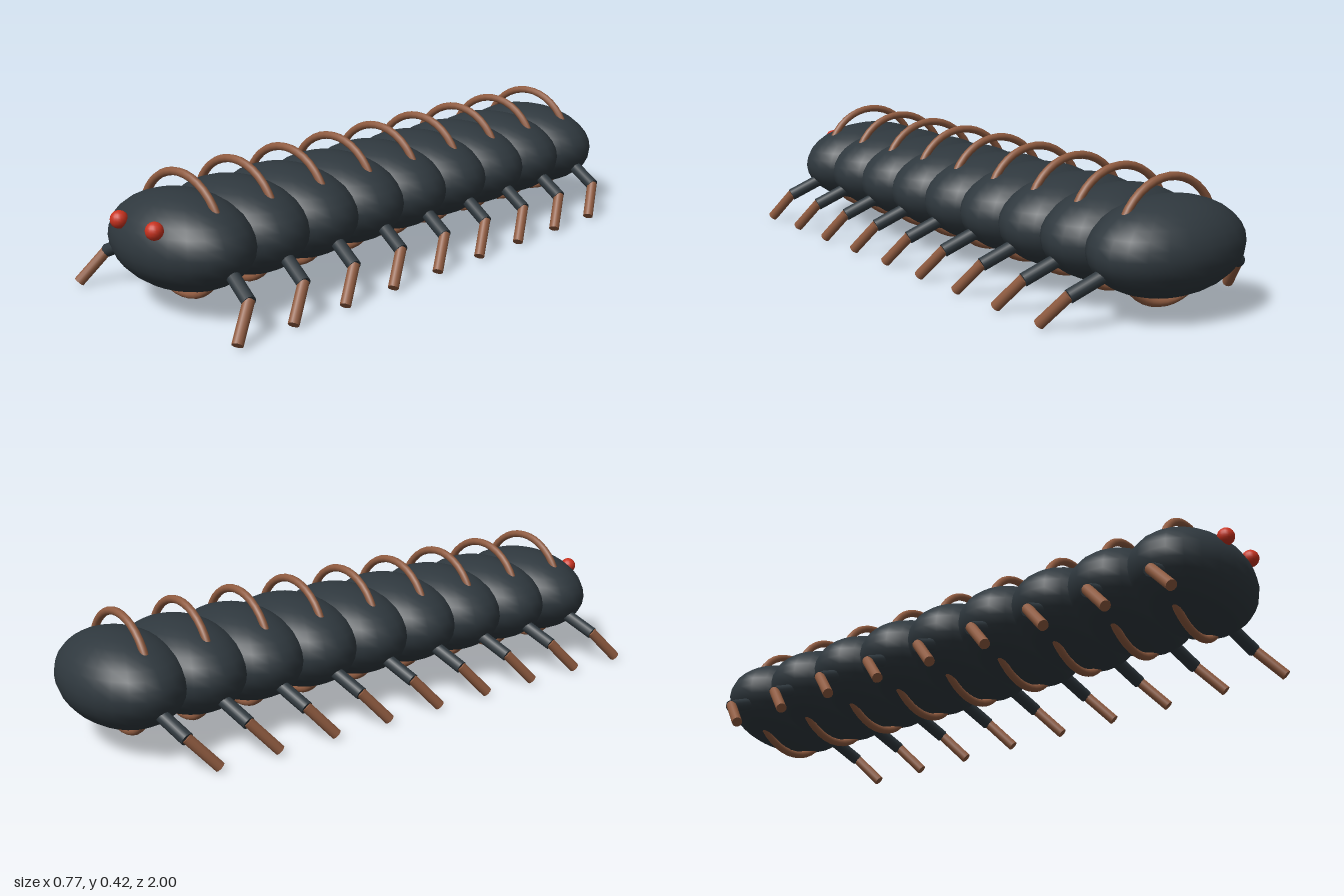
import * as THREE from 'three';

const mat = (color) => new THREE.MeshStandardMaterial({ color });

// Cylinder running between two points
function rod(name, a, b, radius, material) {
  const from = new THREE.Vector3(...a), to = new THREE.Vector3(...b);
  const dir = to.clone().sub(from);
  const mesh = new THREE.Mesh(new THREE.CylinderGeometry(radius, radius, dir.length(), 12), material);
  mesh.name = name;
  mesh.position.copy(from).add(to).multiplyScalar(0.5);
  mesh.quaternion.setFromUnitVectors(new THREE.Vector3(0, 1, 0), dir.normalize());
  return mesh;
}

export function createModel() {
  const model = new THREE.Group();
  model.name = 'centipede';
  const shell = mat(0x2f383e), copper = mat(0x8f5b40), red = mat(0xc8321f);

  const count = 9, spacing = 0.205, bodyY = 0.207;
  const bodyGeo = new THREE.SphereGeometry(1, 24, 16);
  const ringGeo = new THREE.TorusGeometry(0.1825, 0.0125, 10, 40);

  for (let i = 0; i < count; i++) {
    const segment = new THREE.Group();
    segment.name = `segment${i + 1}`;
    segment.position.z = ((count - 1) / 2 - i) * spacing - 0.002;

    // Flattened body shell
    const body = new THREE.Mesh(bodyGeo, shell);
    body.name = 'bodyShell';
    body.scale.set(0.262, 0.145, 0.177);
    body.position.y = bodyY;

    // Hoop showing above the back and below the belly
    const ring = new THREE.Mesh(ringGeo, copper);
    ring.name = 'hoop';
    ring.position.y = 0.222;
    segment.add(body, ring);

    // Jointed legs, feet reaching forward
    for (const s of [1, -1]) {
      const leg = new THREE.Group();
      leg.name = s > 0 ? 'leftLeg' : 'rightLeg';
      leg.add(
        rod('upperLeg', [s * 0.2, 0.165, 0], [s * 0.327, 0.104, 0.033], 0.021, shell),
        rod('lowerLeg', [s * 0.324, 0.109, 0.031], [s * 0.367, 0.013, 0.113], 0.017, copper),
      );
      segment.add(leg);
    }
    model.add(segment);
  }

  // Eyes on the front segment
  for (const s of [1, -1]) {
    const eye = new THREE.Mesh(new THREE.SphereGeometry(0.0265, 16, 12), red);
    eye.name = s > 0 ? 'leftEye' : 'rightEye';
    eye.position.set(s * 0.081, 0.281, 0.973);
    model.add(eye);
  }
  return model;
}
